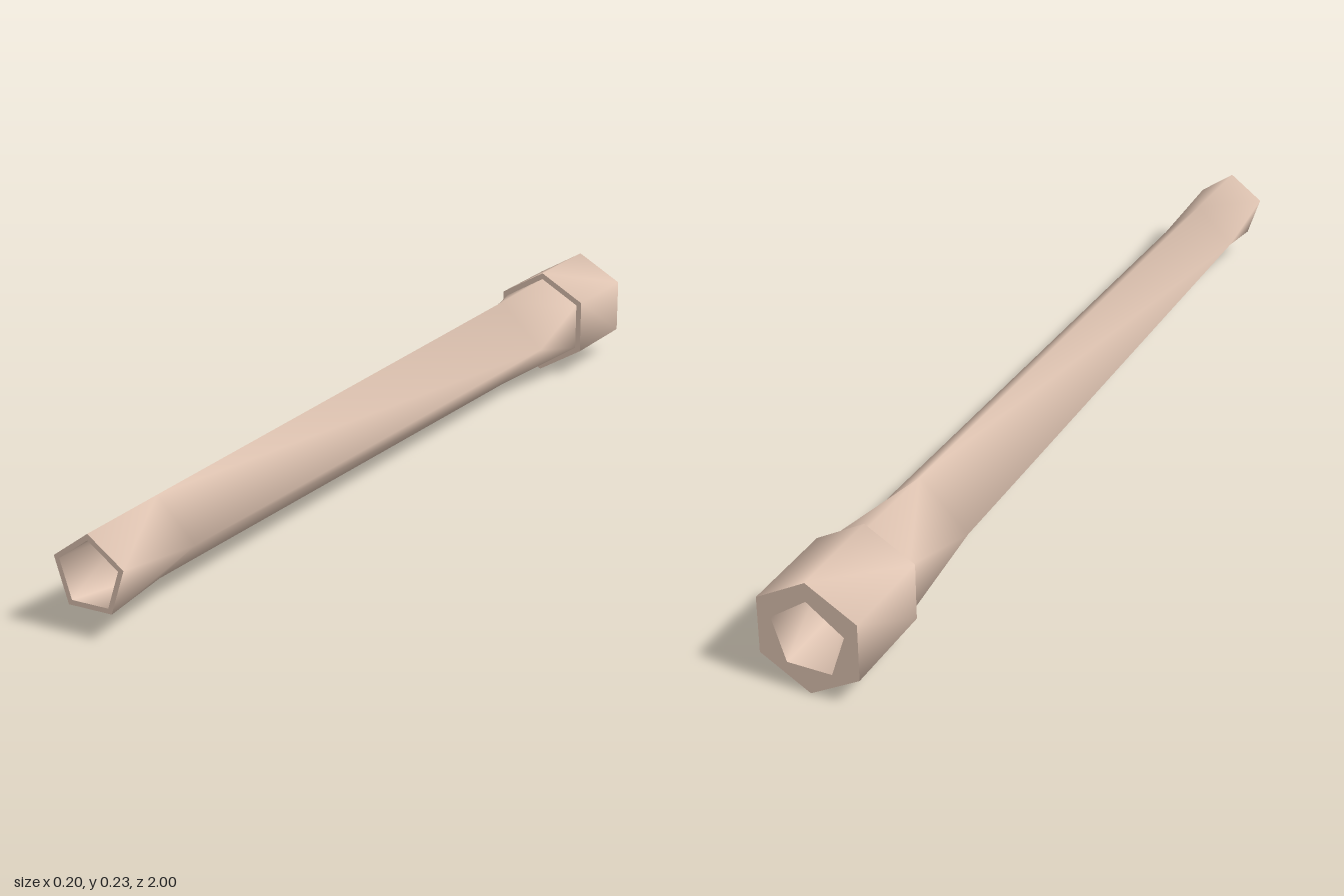
import * as THREE from 'three';

const CENTER_Y = 0.119;
const material = new THREE.MeshStandardMaterial({ color: 0xdec3b1 });

// A section is a regular polygon with a vertex at the top: side count, radius, z.
const section = (sides, radius, z) => ({ sides, radius, z });

// Skin a chain of sections running from front to back, each pair joined like a
// convex hull, so polygons with different side counts blend into one another.
function loft(name, sections, inward = false) {
  const positions = [], index = [], starts = [];
  for (const { sides, radius, z } of sections) {
    starts.push(positions.length / 3);
    for (let i = 0; i < sides; i++) {
      const a = Math.PI / 2 + (i / sides) * Math.PI * 2;
      positions.push(Math.cos(a) * radius, CENTER_Y + Math.sin(a) * radius, z);
    }
  }
  const face = (a, b, c) => index.push(...(inward ? [a, c, b] : [a, b, c]));
  for (let s = 0; s < sections.length - 1; s++) {
    const n = sections[s].sides, m = sections[s + 1].sides;
    const A = (i) => starts[s] + (i % n), B = (j) => starts[s + 1] + (j % m);
    let i = 0, j = 0;
    while (i < n || j < m) {
      // advance along whichever polygon has the next edge direction
      if (j === m || (i < n && (i + 0.5) / n <= (j + 0.5) / m)) {
        face(A(i), B(j), A(i + 1));
        i++;
      } else {
        face(A(i), B(j), B(j + 1));
        j++;
      }
    }
  }
  const geometry = new THREE.BufferGeometry();
  geometry.setAttribute('position', new THREE.Float32BufferAttribute(positions, 3));
  geometry.setIndex(index);
  geometry.computeVertexNormals();
  const mesh = new THREE.Mesh(geometry, material);
  mesh.name = name;
  return mesh;
}

export function createModel() {
  const model = new THREE.Group();
  model.name = 'taperedTube';

  // Tube: pentagonal tip, long square shaft, hexagonal root
  const tube = new THREE.Group();
  tube.name = 'tube';
  tube.add(
    loft('tubeWall', [
      section(5, 0.078, 1), section(4, 0.081, 0.79),
      section(4, 0.099, -0.58), section(6, 0.103, -0.79),
    ]),
    loft('tubeBore', [
      section(5, 0.066, 1), section(4, 0.067, 0.79),
      section(4, 0.085, -0.58), section(6, 0.09, -0.79),
    ], true),
    loft('tipRim', [section(5, 0.066, 1), section(5, 0.078, 1)]),
  );

  // Collar: hexagonal sleeve with a pentagonal socket that fits the tip
  const collar = new THREE.Group();
  collar.name = 'collar';
  collar.add(
    loft('collarWall', [section(6, 0.117, -0.79), section(6, 0.117, -1)]),
    loft('socket', [section(5, 0.078, -0.79), section(5, 0.078, -1)], true),
    loft('collarFrontFace', [section(5, 0.078, -0.79), section(6, 0.117, -0.79)]),
    loft('collarBackFace', [section(6, 0.117, -1), section(5, 0.078, -1)]),
  );

  model.add(tube, collar);
  return model;
}
